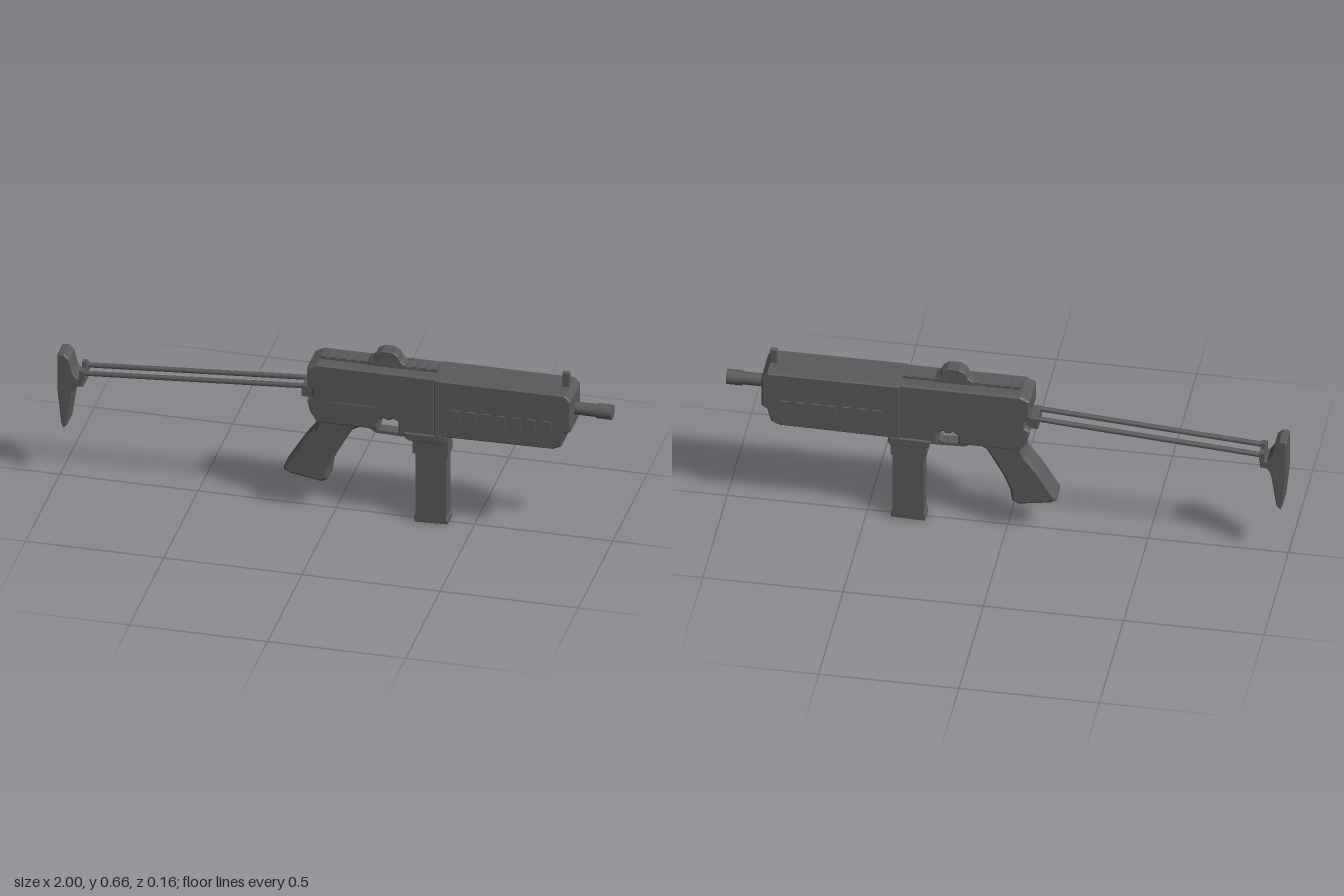
import * as THREE from 'three';

const gunmetal = new THREE.MeshStandardMaterial({ color: 0x5a5a5c });
gunmetal.name = 'gunmetal';

export function createModel() {
  const model = new THREE.Group();
  model.name = 'model';

  const add = (name, geometry, x = 0, y = 0, z = 0) => {
    const mesh = new THREE.Mesh(geometry, gunmetal);
    mesh.name = name;
    mesh.position.set(x, y, z);
    model.add(mesh);
    return mesh;
  };

  // Box given by its x and y limits, half width and centre in z
  const box = (name, x0, x1, y0, y1, half, z = 0) =>
    add(name, new THREE.BoxGeometry(x1 - x0, y1 - y0, half * 2), (x0 + x1) / 2, (y0 + y1) / 2, z);

  // Side profile extruded symmetrically in z, with chamfered edges
  const profile = (name, points, half, chamfer = 0) => {
    const shape = new THREE.Shape(points.map(([x, y]) => new THREE.Vector2(x, y)));
    const geometry = new THREE.ExtrudeGeometry(shape, {
      depth: 2 * (half - chamfer), bevelEnabled: chamfer > 0, bevelSegments: 1,
      bevelSize: chamfer, bevelThickness: chamfer, bevelOffset: -chamfer,
    });
    geometry.translate(0, 0, -(half - chamfer));
    return add(name, geometry);
  };

  // Round bar between two points
  const bar = (name, a, b, radius, sides = 12) => {
    const from = new THREE.Vector3(...a), to = new THREE.Vector3(...b);
    const mesh = add(name, new THREE.CylinderGeometry(radius, radius, from.distanceTo(to), sides));
    mesh.position.copy(from).add(to).multiplyScalar(0.5);
    mesh.quaternion.setFromUnitVectors(new THREE.Vector3(0, 1, 0), to.sub(from).normalize());
    return mesh;
  };

  // Receiver with notched back and trigger opening
  profile('receiver', [
    [-0.055, 0.37], [0.165, 0.37], [0.165, 0.405], [0.185, 0.42], [0.195, 0.412], [0.21, 0.412],
    [0.22, 0.42], [0.24, 0.41], [0.24, 0.36], [0.375, 0.36], [0.375, 0.602], [-0.055, 0.602],
    [-0.09, 0.585], [-0.09, 0.515], [-0.072, 0.497], [-0.072, 0.47], [-0.09, 0.455], [-0.08, 0.41],
  ], 0.067, 0.006);
  box('sidePanel', 0, 0.17, 0.4, 0.46, 0.003, 0.068);
  box('stockBracket', -0.115, -0.06, 0.455, 0.497, 0.042);

  // Top rail with cross teeth
  box('railBase', -0.05, 0.37, 0.598, 0.61, 0.022);
  for (let i = 0; i < 12; i++) {
    const x = -0.05 + i * 0.0363;
    box('railTooth', x, x + 0.021, 0.606, 0.618, 0.028);
  }
  profile('rearSight', [
    [0.12, 0.6], [0.26, 0.6], [0.255, 0.618], [0.238, 0.63], [0.23, 0.65],
    [0.21, 0.664], [0.17, 0.664], [0.148, 0.652], [0.138, 0.63], [0.12, 0.618],
  ], 0.026, 0.003);

  // Handguard with raised side pads
  profile('handguard', [
    [0.37, 0.372], [0.42, 0.375], [0.8, 0.38], [0.83, 0.393], [0.845, 0.445], [0.865, 0.458],
    [0.865, 0.578], [0.845, 0.6], [0.37, 0.6],
  ], 0.074, 0.005);
  for (const side of [-1, 1]) {
    for (let i = 0; i < 7; i++) {
      const x = 0.45 + i * 0.055;
      box('sidePad', x - 0.016, x + 0.016, 0.43, 0.49, 0.005, side * 0.0755);
    }
  }
  profile('frontSight', [[0.82, 0.59], [0.845, 0.59], [0.845, 0.656], [0.82, 0.656]], 0.009, 0.002);

  // Barrel and muzzle
  bar('barrel', [0.86, 0.516, 0], [0.955, 0.516, 0], 0.023);
  bar('muzzle', [0.945, 0.516, 0], [1, 0.516, 0], 0.027);

  // Magazine well and magazine
  profile('magazineCollar', [
    [0.262, 0.375], [0.268, 0.35], [0.28, 0.344], [0.41, 0.344], [0.415, 0.36], [0.415, 0.378],
  ], 0.073, 0.004);
  box('magazineWell', 0.285, 0.412, 0.275, 0.35, 0.035);
  box('magazine', 0.295, 0.404, 0.01, 0.34, 0.033);
  profile('magazineBase', [
    [0.29, 0], [0.41, 0.004], [0.411, 0.02], [0.403, 0.03], [0.296, 0.03], [0.289, 0.02],
  ], 0.033, 0.002);

  // Raked pistol grip
  profile('grip', [
    [-0.05, 0.385], [-0.07, 0.33], [-0.115, 0.27], [-0.18, 0.165], [-0.18, 0.15], [-0.155, 0.138],
    [-0.045, 0.12], [-0.022, 0.132], [-0.015, 0.18], [0.01, 0.24], [0.052, 0.315], [0.068, 0.342],
    [0.1, 0.36], [0.1, 0.385],
  ], 0.046, 0.01);

  // Trigger guard and trigger
  profile('triggerGuard', [
    [0.08, 0.375], [0.1, 0.352], [0.125, 0.347], [0.15, 0.332], [0.23, 0.33], [0.29, 0.33],
    [0.29, 0.355], [0.255, 0.365], [0.23, 0.342], [0.155, 0.344], [0.13, 0.36], [0.115, 0.375],
  ], 0.022);
  profile('trigger', [
    [0.135, 0.375], [0.14, 0.36], [0.158, 0.347], [0.164, 0.35], [0.156, 0.363], [0.16, 0.38],
  ], 0.01);

  // Skeleton stock
  for (const z of [-0.031, 0.031]) {
    bar('stockRod', [-0.92, 0.434, z], [-0.1, 0.492, z], 0.0095, 8);
  }
  profile('buttPlate', [
    [-1, 0.5], [-0.995, 0.505], [-0.975, 0.505], [-0.957, 0.488], [-0.945, 0.44], [-0.93, 0.416],
    [-0.905, 0.415], [-0.905, 0.385], [-0.932, 0.382], [-0.945, 0.355], [-0.964, 0.225],
    [-0.978, 0.21], [-0.986, 0.23], [-1, 0.37],
  ], 0.041, 0.004);
  box('stockTab', -0.917, -0.903, 0.4, 0.468, 0.012);
  box('stockCrossbar', -0.92, -0.902, 0.412, 0.446, 0.041);

  return model;
}
